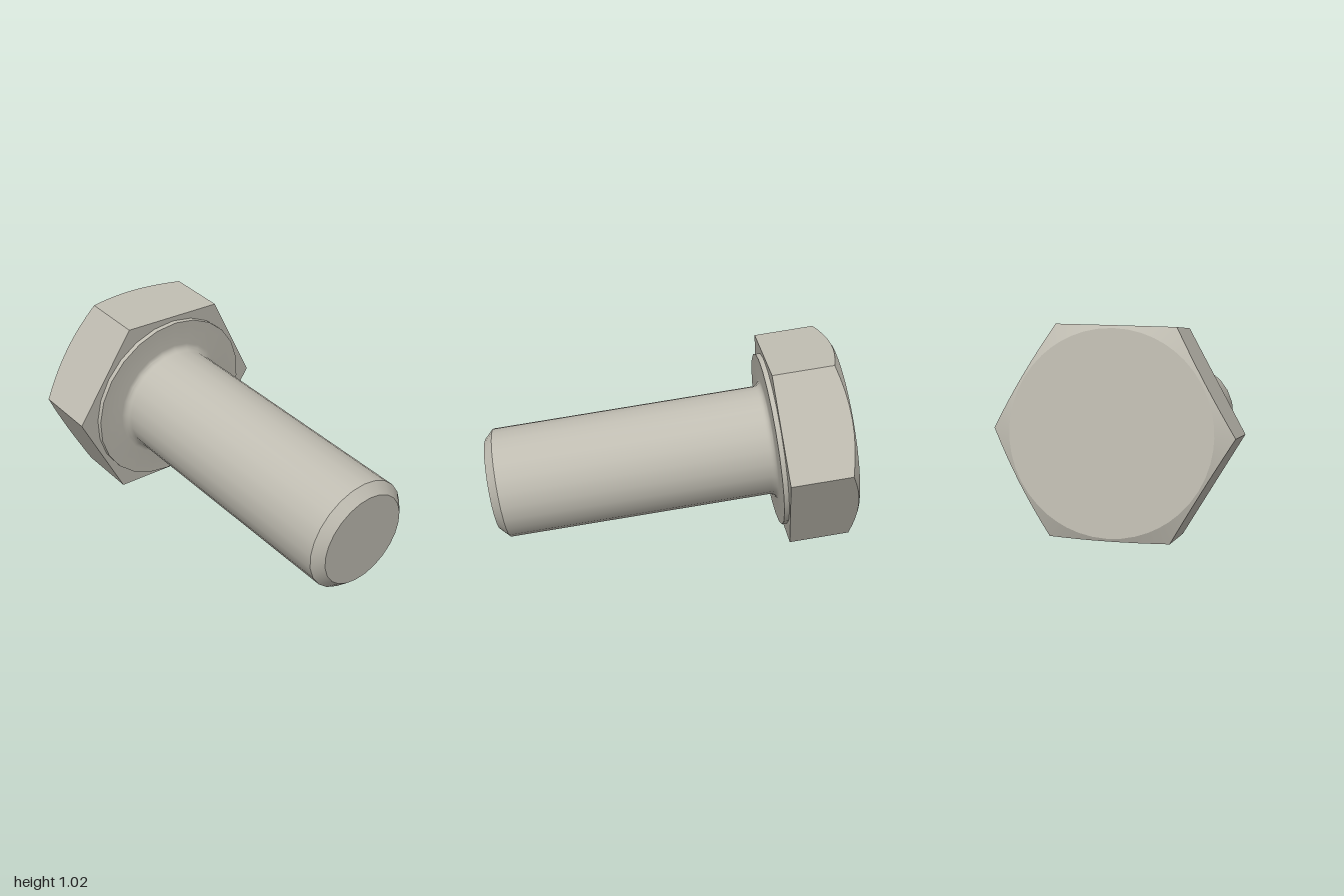
import * as THREE from 'three';
import { toCreasedNormals } from 'three/addons/utils/BufferGeometryUtils.js';

const HEX_R = 0.567;      // centre to corner of the head
const HEAD_H = 0.366;
const FACE_R = 0.478;     // flat disc on the head
const SHANK_R = 0.294;
const TIP_Y = 1.517;
const BEVEL = 0.049;
const SIDE_STEPS = 8;     // subdivisions per hexagon side

// Hexagonal head whose outer rim is cut by a shallow cone, leaving curved edges
function headGeometry() {
  const count = 6 * SIDE_STEPS;
  const rings = [[], [], [], [], []];
  for (let i = 0; i <= count; i++) {
    const side = Math.floor((i % count) / SIDE_STEPS);
    const f = (i % SIDE_STEPS) / SIDE_STEPS;
    const corner = (k) => new THREE.Vector2(Math.cos(k * Math.PI / 3), Math.sin(k * Math.PI / 3)).multiplyScalar(HEX_R);
    const p = corner(side).lerp(corner(side + 1), f);
    const rho = p.length();
    const d = p.clone().setLength(FACE_R);
    rings[0].push([0, 0, 0]);
    rings[1].push([p.x, 0, p.y]);
    rings[2].push([p.x, -HEAD_H + (rho - FACE_R) * 0.53, p.y]);
    rings[3].push([d.x, -HEAD_H, d.y]);
    rings[4].push([0, -HEAD_H, 0]);
  }
  const pos = [];
  for (let r = 0; r < 4; r++) {
    const up = rings[r], low = rings[r + 1];
    for (let i = 0; i < count; i++) {
      if (r > 0) pos.push(...up[i], ...up[i + 1], ...low[i + 1]);
      if (r < 3) pos.push(...up[i], ...low[i + 1], ...low[i]);
    }
  }
  const g = new THREE.BufferGeometry();
  g.setAttribute('position', new THREE.Float32BufferAttribute(pos, 3));
  return toCreasedNormals(g, 0.4);
}

function lathe(points) {
  const g = new THREE.LatheGeometry(points.map(([x, y]) => new THREE.Vector2(x, y)), 24);
  return toCreasedNormals(g, 0.5);
}

export function createModel() {
  const model = new THREE.Group();
  model.name = 'hexBolt';
  const steel = new THREE.MeshStandardMaterial({ color: 0xbfbcb1 });
  steel.name = 'steel';

  const bolt = new THREE.Group();
  bolt.name = 'bolt';
  const add = (name, geometry) => {
    const mesh = new THREE.Mesh(geometry, steel);
    mesh.name = name;
    bolt.add(mesh);
  };

  add('head', headGeometry());

  // Washer face, root fillet, shank and bevelled tip in one turned profile
  const washerY = 0.026, fillet = 0.035;
  const profile = [[0.466, -0.005], [0.466, washerY]];
  for (let i = 0; i <= 6; i++) {
    const a = (i / 6) * Math.PI / 2;
    profile.push([SHANK_R + fillet * (1 - Math.sin(a)), washerY + fillet * (1 - Math.cos(a))]);
  }
  profile.push([SHANK_R, TIP_Y - BEVEL], [SHANK_R - BEVEL, TIP_Y], [0, TIP_Y]);
  add('shank', lathe(profile));

  // Tilt the bolt: local y runs along the shank, local x points to a head corner
  const axis = new THREE.Vector3(1, -0.137, 0.212).normalize();
  const corner = new THREE.Vector3(-0.212, 0, 1).normalize();
  const third = new THREE.Vector3().crossVectors(corner, axis);
  bolt.quaternion.setFromRotationMatrix(new THREE.Matrix4().makeBasis(corner, axis, third));
  bolt.position.set(-0.53, 0.489, 0.014);

  model.add(bolt);
  return model;
}
